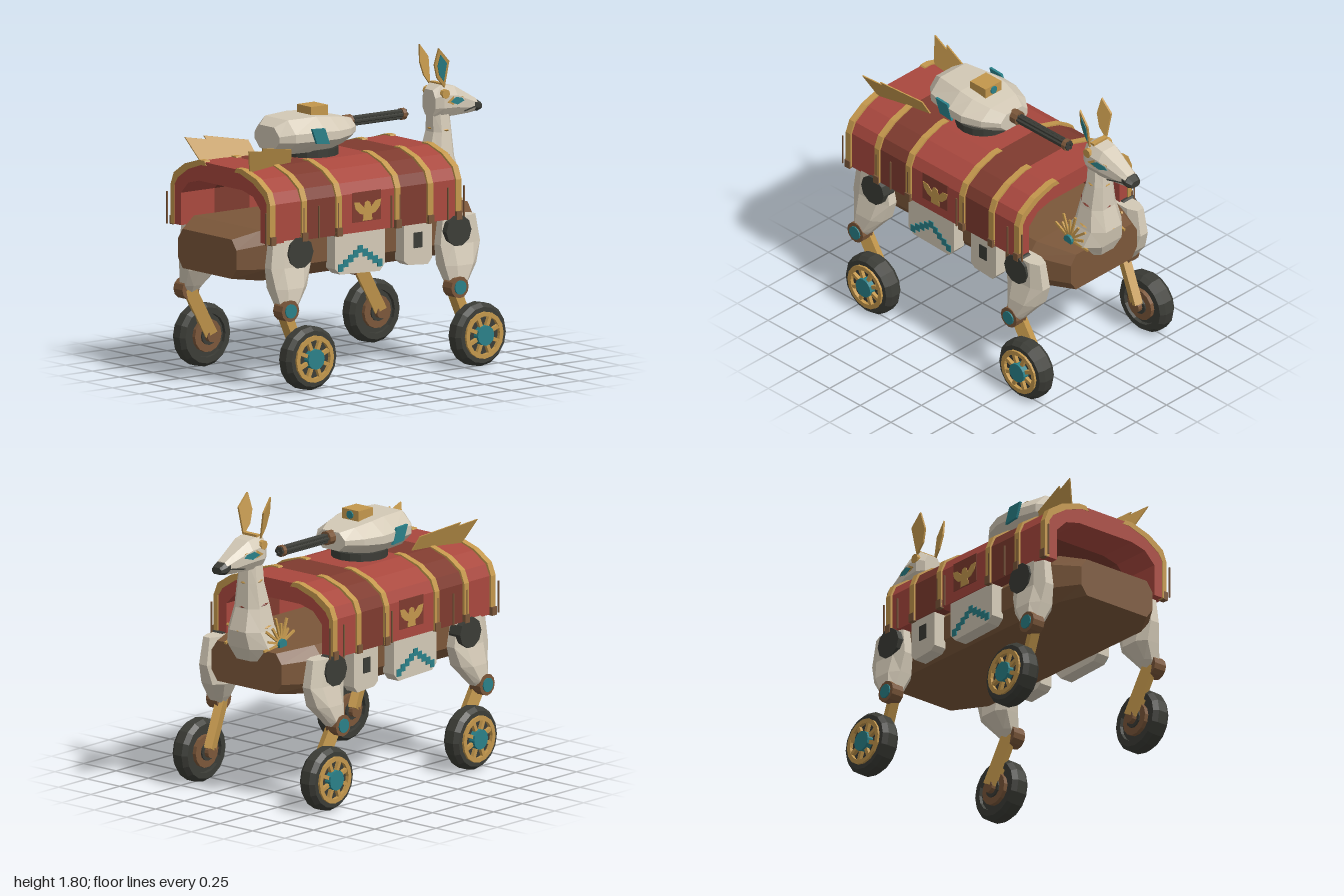
import * as THREE from 'three';

const mat = (name, color) => {
  const m = new THREE.MeshStandardMaterial({ color });
  m.name = name;
  return m;
};
const V = (x, y, z) => new THREE.Vector3(x, y, z);

// Facet a closed geometry and make sure its faces point outwards
function solid(geo, mirrored = false) {
  const g = geo.index ? geo.toNonIndexed() : geo.clone();
  if (mirrored) g.scale(-1, 1, 1);
  const p = g.attributes.position, a = V(), b = V(), c = V();
  let volume = 0;
  for (let i = 0; i < p.count; i += 3) {
    a.fromBufferAttribute(p, i); b.fromBufferAttribute(p, i + 1); c.fromBufferAttribute(p, i + 2);
    volume += a.dot(b.cross(c));
  }
  if (volume < 0) for (let i = 0; i < p.count; i += 3) {
    b.fromBufferAttribute(p, i + 1); c.fromBufferAttribute(p, i + 2);
    p.setXYZ(i + 1, c.x, c.y, c.z); p.setXYZ(i + 2, b.x, b.y, b.z);
  }
  g.clearGroups();
  g.computeVertexNormals();
  return g;
}

// Eight-sided section; kx and ky set where the corners are cut
const octagon = (hw, hh, kx, ky) => [[kx, -1], [1, -ky], [1, ky], [kx, 1], [-kx, 1], [-1, ky], [-1, -ky], [-kx, -1]]
  .map(([a, b]) => [a * hw, b * hh]);
const sectionZ = (z, y0, y1, hw, kx, ky) => octagon(hw, (y1 - y0) / 2, kx, ky).map(([a, b]) => V(a, (y0 + y1) / 2 + b, z));
const sectionY = (y, z, hz, x, hx) => octagon(hx, hz, 0.5, 0.5).map(([a, b]) => V(x + a, y, z + b));

// Skin a row of sections and cap both ends
function loft(sections) {
  const n = sections[0].length, index = [], last = (sections.length - 1) * n;
  for (let s = 0; s < last; s += n) for (let i = 0; i < n; i++) {
    const j = (i + 1) % n;
    index.push(s + i, s + j, s + n + j, s + i, s + n + j, s + n + i);
  }
  for (let i = 1; i < n - 1; i++) index.push(0, i + 1, i, last, last + i, last + i + 1);
  const g = new THREE.BufferGeometry().setFromPoints(sections.flat());
  return g.setIndex(index);
}

// Plate outlined by [z, y] points, thickened towards +x; lean(z, y) adds to x
function plate(pts, x, depth, lean = () => 0) {
  const shape = new THREE.Shape(pts.map(([z, y]) => new THREE.Vector2(-z, y)));
  const g = new THREE.ExtrudeGeometry(shape, { depth, bevelEnabled: false }).rotateY(Math.PI / 2);
  const p = g.attributes.position;
  for (let i = 0; i < p.count; i++) p.setX(i, p.getX(i) + x + lean(p.getZ(i), p.getY(i)));
  return g;
}
const box = (x0, x1, y0, y1, z0, z1) => new THREE.BoxGeometry(x1 - x0, y1 - y0, Math.abs(z1 - z0))
  .translate((x0 + x1) / 2, (y0 + y1) / 2, (z0 + z1) / 2);
const discX = (r, x0, x1, y, z, sides = 12) => new THREE.CylinderGeometry(r, r, x1 - x0, sides)
  .rotateZ(Math.PI / 2).translate((x0 + x1) / 2, y, z);
const rodZ = (r, z0, z1, x, y, sides = 10) => new THREE.CylinderGeometry(r, r, Math.abs(z1 - z0), sides)
  .rotateX(Math.PI / 2).translate(x, y, (z0 + z1) / 2);
function beam(a, b, w, d) {
  const dir = b.clone().sub(a), mid = a.clone().add(b).multiplyScalar(0.5);
  const q = new THREE.Quaternion().setFromUnitVectors(V(0, 1, 0), dir.clone().normalize());
  return new THREE.BoxGeometry(w, dir.length(), d).applyQuaternion(q).translate(mid.x, mid.y, mid.z);
}

export function createModel() {
  const root = new THREE.Group();
  const cream = mat('cream shell', 0xd3c9b6), brown = mat('brown', 0x7b573a), red = mat('red', 0xa9483e),
    darkRed = mat('dark red', 0x7f3b2f), gold = mat('gold', 0xc3974c), dark = mat('dark metal', 0x3b3c36),
    teal = mat('teal', 0x2a8088);
  let group = root;
  const begin = (name) => { group = new THREE.Group(); group.name = name; root.add(group); };
  const add = (name, geo, m, mirrored) => {
    const mesh = new THREE.Mesh(solid(geo, mirrored), m);
    mesh.name = name;
    group.add(mesh);
  };
  const both = (name, geo, m) => { add(name + 'Left', geo, m); add(name + 'Right', geo, m, true); };

  // Hull
  begin('body');
  add('hull', loft([[1, 0.65, 0.88, 0.27], [0.85, 0.635, 0.93, 0.37], [-0.5, 0.64, 0.93, 0.37], [-0.74, 0.67, 0.91, 0.27]]
    .map(([z, a, b, w]) => sectionZ(z, a, b, w, 0.84, 0.5))), brown);

  // Arched canopy in alternating reds
  begin('canopy');
  const outer = [[0.45, 0.87], [0.45, 1.1], [0.42, 1.165], [0.32, 1.23], [0.2, 1.27]];
  const inner = [[0.2, 1.155], [0.3, 1.13], [0.37, 1.06], [0.37, 0.87]];
  const flip = (pts) => pts.map(([x, y]) => [-x, y]).reverse();
  const extrudeZ = (pts, z0, z1) => new THREE.ExtrudeGeometry(new THREE.Shape(pts.map((p) => new THREE.Vector2(...p))),
    { depth: z1 - z0, bevelEnabled: false }).translate(0, 0, z0);
  const arch = [...outer, ...flip(outer), ...flip(inner), ...inner.slice()];
  const cuts = [0.9, 0.65, 0.395, -0.04, -0.28, -0.5];
  for (let i = 0; i < 5; i++) add('canopySection', extrudeZ(arch, cuts[i + 1], cuts[i]), i % 2 ? darkRed : red);

  // Gold bands with clasps, stopping short of the crown
  const bandLine = [...outer, [0.15, 1.27]];
  const band = [...bandLine.map(([x, y]) => [x + (x > 0.3 ? 0.012 : 0), y + (y > 1.1 ? 0.008 : 0)]),
    ...bandLine.slice().reverse().map(([x, y]) => [x - 0.02, y - (y > 1.1 ? 0.02 : 0)])];
  for (const z of [0.883, 0.65, 0.395, -0.04, -0.28, -0.488]) {
    both('band', extrudeZ(band, z - 0.02, z + 0.02), gold);
    both('clasp', box(0.44, 0.472, 0.865, 0.915, z - 0.02, z + 0.02), brown);
  }
  for (const z of [0.93, 0.655, 0.54, 0.4, 0.005, -0.055, -0.41, -0.53])
    both('pin', box(0.455, 0.463, 0.87, 1.06, z - 0.004, z + 0.004), brown);

  // Winged ornament on a square patch
  both('patch', box(0.449, 0.454, 0.93, 1.105, 0.08, 0.285), darkRed);
  const wing = [[0, 1.05], [0.02, 1.04], [0.025, 1.01], [0.06, 1.045], [0.1, 1.05], [0.09, 1.01], [0.06, 0.98], [0.03, 0.97], [0.035, 0.935]];
  both('ornament', plate([...wing, ...flip(wing).slice(0, -1)].map(([z, y]) => [z + 0.18, y]), 0.453, 0.005), gold);

  // Hanging side panels
  begin('sidePanels');
  const panel = (z0, z1, c) => plate([[z0, 0.87], [z0, 0.63 + c], [z0 - c, 0.635], [z1 + c, 0.625], [z1, 0.63 + c], [z1, 0.87]], 0.36, 0.084);
  both('largePanel', panel(0.41, 0.04, 0.04), cream);
  both('smallPanel', panel(-0.1, -0.305, 0.03), cream);
  both('vent', box(0.443, 0.449, 0.73, 0.82, -0.23, -0.17), dark);
  for (let i = -4; i <= 4; i++) {
    const y = 0.77 - Math.abs(i) * 0.024, z = 0.225 + i * 0.036;
    both('zigzag', box(0.443, 0.449, y - 0.022, y + 0.022, z - 0.018, z + 0.018), teal);
  }

  // Tail blades on the canopy
  begin('tailBlades');
  const bladeLean = (z, y) => (z - 0.6) * 0.2 + (y - 1.26) * 0.4;
  for (const [shift, h] of [[0, 0], [-0.12, 0], [-0.24, -0.02]])
    both('blade', plate([[0.93, 1.4], [0.865, 1.25], [0.74, 1.25], [0.78, 1.375]].map(([z, y]) => [z + shift, y + h]), 0.17, 0.009, bladeLean), gold);

  // Four wheeled legs
  for (const [name, dz, hipZ] of [['rearLegs', 0, 0.68], ['frontLegs', -1.25, -0.485]]) {
    begin(name);
    const wz = 0.65 + dz, wy = 0.187;
    both('thigh', loft([[0.88, 0.73, 0.12, 0.4, 0.05], [0.72, 0.725, 0.145, 0.4, 0.06], [0.6, 0.735, 0.115, 0.405, 0.085],
      [0.5, 0.765, 0.065, 0.44, 0.06], [0.45, 0.77, 0.03, 0.45, 0.035]].map(([y, z, hz, x, hx]) => sectionY(y, z + dz, hz, x, hx))), cream);
    both('hip', discX(0.092, 0.38, 0.468, 0.8, hipZ, 10), dark);
    both('knee', discX(0.064, 0.42, 0.503, 0.475, 0.785 + dz), brown);
    both('kneeCap', discX(0.042, 0.49, 0.511, 0.475, 0.785 + dz), teal);
    both('shin', beam(V(0.435, 0.48, 0.79 + dz), V(0.41, 0.2, wz), 0.05, 0.075), gold);
    both('axle', discX(0.035, 0.39, 0.5, wy, wz), brown);
    const ring = (pts, x) => new THREE.LatheGeometry([...pts, pts[0]].map(([r, a]) => new THREE.Vector2(r, a)), 16)
      .rotateZ(-Math.PI / 2).translate(x, wy, wz);
    both('tyre', ring([[0.187, -0.03], [0.187, 0.03], [0.165, 0.058], [0.13, 0.058], [0.125, 0], [0.13, -0.058], [0.165, -0.058]], 0.492), dark);
    both('wheelDisc', discX(0.13, 0.455, 0.535, wy, wz, 16), dark);
    both('innerHub', discX(0.098, 0.43, 0.46, wy, wz, 14), brown);
    both('innerCap', discX(0.055, 0.42, 0.435, wy, wz), dark);
    both('rim', ring([[0.138, -0.01], [0.138, 0.012], [0.112, 0.012], [0.112, -0.01]], 0.552), gold);
    for (let k = 0; k < 8; k++) {
      const a = (k + 0.5) * Math.PI / 4, c = Math.cos(a), s = Math.sin(a);
      both('spoke', beam(V(0.55, wy + c * 0.04, wz + s * 0.04), V(0.55, wy + c * 0.125, wz + s * 0.125), 0.022, 0.022), gold);
    }
    both('wheelCap', discX(0.06, 0.52, 0.575, wy, wz), teal);
  }

  // Turret and gun
  begin('turret');
  add('turretBase', new THREE.CylinderGeometry(0.165, 0.165, 0.06, 16).translate(0, 1.285, 0.24), dark);
  add('turretShell', loft([[0.56, 1.33, 1.465, 0.115], [0.49, 1.305, 1.505, 0.18], [0.3, 1.305, 1.51, 0.225], [0.2, 1.31, 1.5, 0.225],
    [0.08, 1.33, 1.48, 0.18], [-0.01, 1.35, 1.46, 0.11]].map(([z, a, b, w]) => sectionZ(z, a, b, w, 0.58, 0.25))), cream);
  both('sideLight', plate([[0.405, 1.46], [0.31, 1.455], [0.275, 1.36], [0.37, 1.37]], 0.212, 0.016), teal);
  add('sight', box(-0.065, 0.065, 1.49, 1.555, 0.16, 0.285), gold);
  add('sightLens', rodZ(0.024, 0.152, 0.165, 0, 1.525), teal);
  add('gunCore', rodZ(0.02, 0.09, -0.45, 0, 1.425), dark);
  for (let k = 0; k < 6; k++)
    add('barrel', rodZ(0.011, 0.08, -0.46, 0.02 * Math.cos(k * Math.PI / 3), 1.425 + 0.02 * Math.sin(k * Math.PI / 3), 6), dark);
  add('gunCollar', rodZ(0.042, 0.0, -0.055, 0, 1.425), brown);
  add('muzzleRing', rodZ(0.035, -0.425, -0.45, 0, 1.425), brown);

  // Neck with rings and a fan of rays
  begin('neck');
  add('neckShell', loft([[0.84, -0.68, 0.09, 0.1], [0.92, -0.655, 0.15, 0.16], [1.02, -0.695, 0.125, 0.125], [1.15, -0.69, 0.092, 0.098],
    [1.3, -0.705, 0.066, 0.075], [1.42, -0.7, 0.06, 0.06]].map(([y, z, hz, hx]) => sectionY(y, z, hz, 0, hx))), cream);
  for (const [y, z, rx, rz, m] of [[1.31, -0.705, 0.075, 0.067, gold], [1.17, -0.69, 0.097, 0.091, darkRed], [1.04, -0.695, 0.122, 0.12, gold]])
    add('neckRing', new THREE.TorusGeometry(1, 0.07, 4, 12).rotateX(Math.PI / 2).scale(rx, 0.1, rz).rotateX(-0.15).translate(0, y, z), m);
  both('rosette', discX(0.032, 0.14, 0.182, 0.935, -0.625), teal);
  for (let k = 0; k < 9; k++) {
    const a = -0.15 + k * 0.37, len = k % 2 ? 0.12 : 0.16;
    both('ray', beam(V(0.162, 0.935, -0.625), V(0.15, 0.935 + len * Math.sin(a), -0.625 - len * 0.85 * Math.cos(a)), 0.012, 0.014), gold);
  }

  // Head
  begin('head');
  add('skull', loft([[-0.635, 1.395, 1.545, 0.06], [-0.68, 1.385, 1.575, 0.09], [-0.78, 1.385, 1.56, 0.085], [-0.9, 1.385, 1.495, 0.057],
    [-0.96, 1.39, 1.462, 0.046]].map(([z, a, b, w]) => sectionZ(z, a, b, w, 0.6, 0.4))), cream);
  add('nose', loft([[-0.93, 1.395, 1.47, 0.051], [-0.965, 1.388, 1.455, 0.05], [-1, 1.395, 1.435, 0.036]]
    .map(([z, a, b, w]) => sectionZ(z, a, b, w, 0.6, 0.4))), dark);
  const cheek = (z) => (z + 0.72) * 0.18;
  both('eyeRim', plate([[-0.7, 1.475], [-0.76, 1.512], [-0.83, 1.495], [-0.855, 1.47], [-0.78, 1.443]], 0.08, 0.012, cheek), gold);
  both('eye', plate([[-0.725, 1.475], [-0.77, 1.5], [-0.82, 1.487], [-0.84, 1.47], [-0.78, 1.453]], 0.086, 0.01, cheek), teal);
  both('mouth', plate([[-0.84, 1.405], [-0.84, 1.412], [-0.94, 1.425], [-0.94, 1.418]], 0.075, 0.004, (z) => (z + 0.84) * 0.25), dark);
  both('browDisc', discX(0.028, 0.055, 0.093, 1.525, -0.69, 8), gold);
  add('browBand', box(-0.055, 0.055, 1.55, 1.583, -0.715, -0.685), gold);

  // Ears, only one with a coloured face
  const ear = [[-0.695, 1.56], [-0.645, 1.62], [-0.62, 1.7], [-0.635, 1.8], [-0.705, 1.72]];
  const earLean = (z, y) => (y - 1.56) * 0.17 - (z + 0.66) * 0.3;
  both('ear', plate(ear, 0.05, 0.012, earLean), gold);
  add('earLining', plate(ear.map(([z, y]) => [-0.665 + (z + 0.665) * 0.62, 1.68 + (y - 1.68) * 0.68]), 0.06, 0.006, earLean), teal);

  return root;
}
